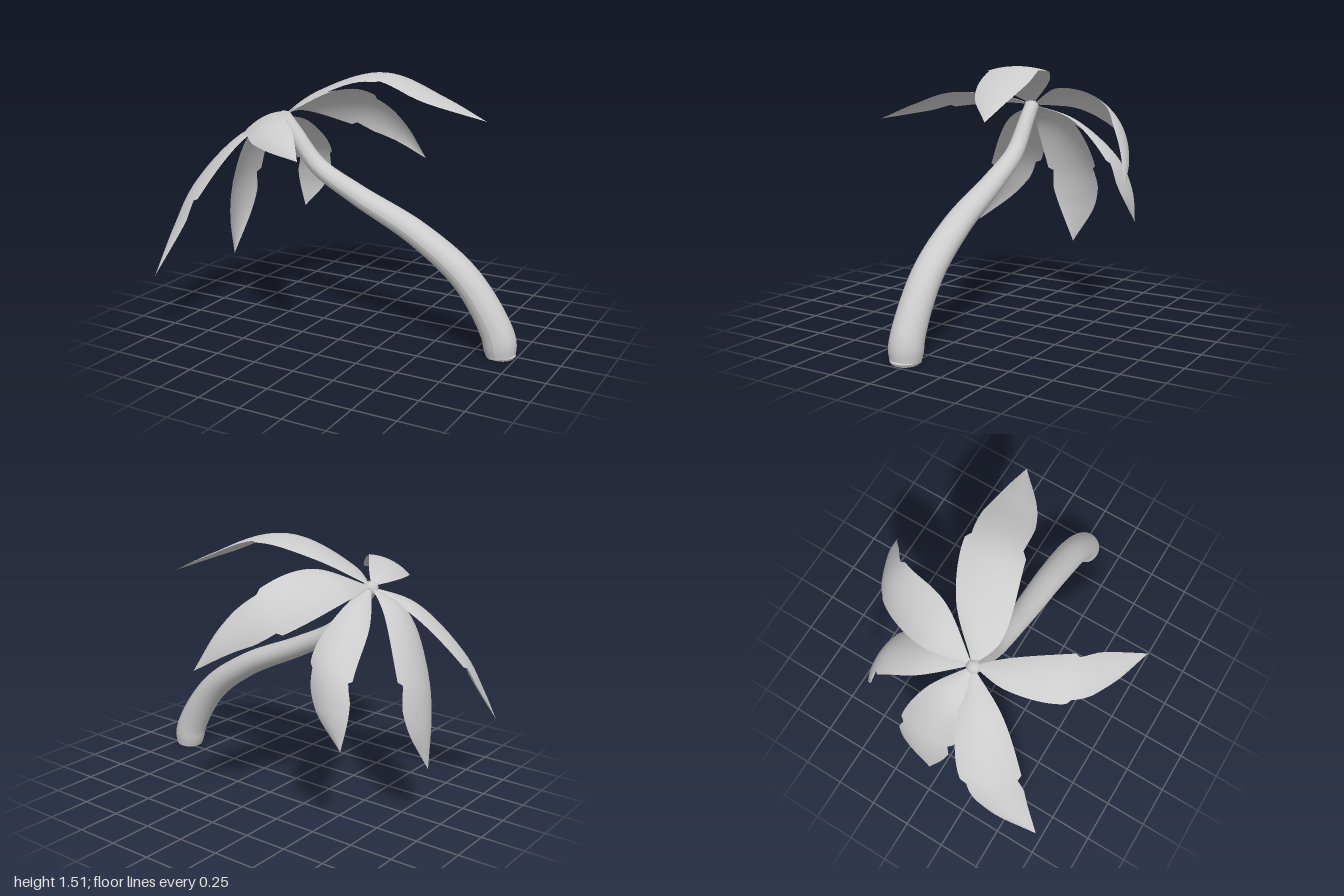
import * as THREE from 'three';

const material = new THREE.MeshStandardMaterial({ color: 0xcccccc, side: THREE.DoubleSide });
const ROOT = [-0.48, 1.25, 0.05];
const TRUNK_AXIS = new THREE.Vector3(-0.48, 0.7, 0.05);

const curveOf = (points) => new THREE.CatmullRomCurve3(points.map((p) => new THREE.Vector3(...p)));

function addMesh(group, name, geometry) {
  const mesh = new THREE.Mesh(geometry, material);
  mesh.name = name;
  group.add(mesh);
  return mesh;
}

// A leaf is an arched sheet between two edge curves running from crown to tip
function addLeaf(group, name, arch, tip, left, right) {
  const edgeA = curveOf([ROOT, ...left, tip]);
  const edgeB = curveOf([ROOT, ...right, tip]);
  const rows = 42, cols = 10, positions = [], indices = [];
  const notch = (t, at) => (t > at && t < at + 0.14 ? 0.09 * (1 - (t - at) / 0.14) : 0);
  for (let i = 0; i <= rows; i++) {
    const t = THREE.MathUtils.clamp(i / rows, 0.01, 0.998);
    const p = edgeA.getPoint(t), chord = edgeB.getPoint(t).sub(p);
    const along = edgeA.getTangent(t).add(edgeB.getTangent(t));
    const out = chord.clone().cross(along).normalize();
    const middle = p.clone().addScaledVector(chord, 0.5);
    if (out.dot(middle.sub(TRUNK_AXIS)) < 0) out.negate();
    // torn notches bite into both edges
    const start = notch(t, 0.5), end = 1 - notch(t, 0.53);
    for (let j = 0; j <= cols; j++) {
      const s = THREE.MathUtils.lerp(start, end, j / cols);
      const v = p.clone().addScaledVector(chord, s)
        .addScaledVector(out, 4 * s * (1 - s) * arch * chord.length());
      positions.push(v.x, v.y, v.z);
      if (i < rows && j < cols) {
        const k = i * (cols + 1) + j, n = k + cols + 1;
        indices.push(k, n, k + 1, k + 1, n, n + 1);
      }
    }
  }
  const geometry = new THREE.BufferGeometry();
  geometry.setAttribute('position', new THREE.Float32BufferAttribute(positions, 3));
  geometry.setIndex(indices);
  geometry.computeVertexNormals();
  addMesh(group, name, geometry);
}

// Leaning trunk: a tube whose rings are scaled to taper toward the crown
function trunkGeometry() {
  const bends = [[0.915, 0.01], [0.89, 0.13], [0.7, 0.42], [0.4, 0.64], [0, 0.83], [-0.25, 0.97], [-0.4, 1.15], [-0.48, 1.25]];
  const path = curveOf(bends.map(([x, y]) => [x, y, 0.03 + 0.02 * y]));
  const rings = 80, sides = 24;
  const geometry = new THREE.TubeGeometry(path, rings, 1, sides);
  const pos = geometry.attributes.position, v = new THREE.Vector3();
  for (let i = 0; i <= rings; i++) {
    const u = i / rings, c = path.getPointAt(u);
    const footRounding = 1 - 0.14 * Math.max(0, 1 - u / 0.03);
    const r = (0.098 - 0.055 * u ** 0.85) * footRounding;
    const widen = 1 + 0.2 * Math.sin(Math.PI * u) ** 2;
    for (let j = 0; j <= sides; j++) {
      const k = i * (sides + 1) + j;
      v.fromBufferAttribute(pos, k).sub(c).multiplyScalar(r);
      v.z *= widen;
      v.add(c);
      pos.setXYZ(k, v.x, Math.max(v.y, 0), v.z);
    }
  }
  geometry.computeVertexNormals();
  return geometry;
}

export function createModel() {
  const model = new THREE.Group();
  model.name = 'palmTree';
  addMesh(model, 'trunk', trunkGeometry());

  // Flat foot and rounded crown close the ends of the trunk
  const foot = addMesh(model, 'trunkFoot', new THREE.CylinderGeometry(0.082, 0.074, 0.015, 24));
  foot.position.set(0.915, 0.0075, 0.03);
  const crown = addMesh(model, 'crown', new THREE.SphereGeometry(0.042, 16, 10));
  crown.position.set(-0.475, 1.235, 0.055);

  // Drooping leaves: arch, tip, then three points along each edge
  const leaves = new THREE.Group();
  leaves.name = 'leaves';
  model.add(leaves);
  addLeaf(leaves, 'rightLeaf', 0.07, [0.66, 1.25, -0.3],
    [[-0.26, 1.41, -0.18], [0.04, 1.485, -0.31], [0.4, 1.365, -0.317]],
    [[-0.32, 1.33, 0.125], [0.06, 1.48, 0.04], [0.4, 1.36, -0.08]]);
  addLeaf(leaves, 'frontLeaf', 0.1, [0.08, 1.17, 0.8],
    [[-0.505, 1.25, 0.27], [-0.4, 1.22, 0.57], [-0.18, 1.19, 0.715]],
    [[-0.37, 1.3, 0.19], [-0.18, 1.325, 0.47], [-0.04, 1.255, 0.64]]);
  addLeaf(leaves, 'leftFrontLeaf', 0.13, [-0.94, 0.38, 0.73],
    [[-0.75, 1.09, 0.11], [-0.96, 0.83, 0.25], [-0.995, 0.6, 0.45]],
    [[-0.6, 1.13, 0.3], [-0.76, 0.83, 0.515], [-0.84, 0.63, 0.6]]);
  addLeaf(leaves, 'leftLeaf', 0.13, [-0.92, 0.31, -0.02],
    [[-0.67, 1.15, -0.11], [-0.83, 0.84, -0.215], [-0.885, 0.6, -0.2]],
    [[-0.67, 1.12, 0.13], [-0.81, 0.83, 0.12], [-0.87, 0.6, 0.08]]);
  addLeaf(leaves, 'backLeftLeaf', 0.12, [-0.71, 0.53, -0.55],
    [[-0.64, 1.1, -0.2], [-0.71, 0.88, -0.45], [-0.735, 0.71, -0.52]],
    [[-0.47, 1.17, -0.22], [-0.45, 0.96, -0.45], [-0.53, 0.73, -0.53]]);
  addLeaf(leaves, 'backLeaf', 0.1, [0.05, 0.88, -0.81],
    [[-0.525, 1.23, -0.25], [-0.38, 1.1, -0.6], [-0.16, 1, -0.74]],
    [[-0.29, 1.37, -0.23], [-0.2, 1.32, -0.53], [-0.06, 1.12, -0.71]]);
  return model;
}
